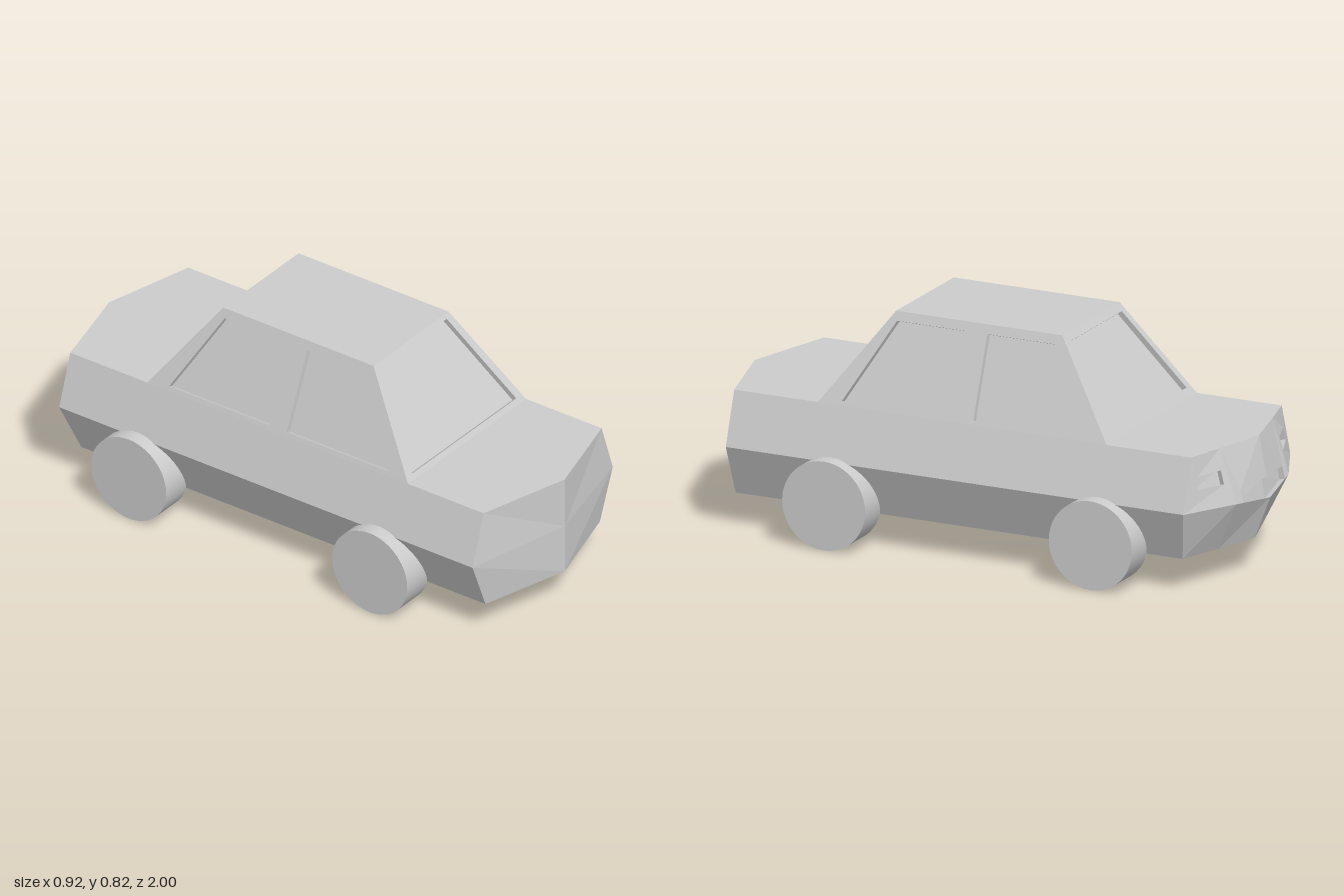
import * as THREE from 'three';

const grey = new THREE.MeshStandardMaterial({ color: 0xcccccc });
grey.name = 'light grey';

// Collects flat faces for the +x half and mirrors each one to -x
class HalfShell {
  constructor() { this.positions = []; }
  tri(a, b, c) {
    const flip = ([x, y, z]) => [-x, y, z];
    this.positions.push(...a, ...b, ...c, ...flip(a), ...flip(c), ...flip(b));
  }
  quad(a, b, c, d) {
    this.tri(a, b, c);
    this.tri(a, c, d);
  }
  mesh(name) {
    const geometry = new THREE.BufferGeometry();
    geometry.setAttribute('position', new THREE.Float32BufferAttribute(this.positions, 3));
    geometry.computeVertexNormals();
    const mesh = new THREE.Mesh(geometry, grey);
    mesh.name = name;
    return mesh;
  }
}

// Frame around a hole with a sunken pane; openEdge is the side on the centre line
function recessedPanel(frame, pane, outer, hole, depth, openEdge = -1) {
  const v = outer.map((p) => new THREE.Vector3(...p));
  const n = v[2].clone().sub(v[0]).cross(v[3].clone().sub(v[1])).normalize().multiplyScalar(-depth);
  if (openEdge >= 0) n.x = 0;
  const inner = hole.map(([x, y, z]) => [x + n.x, y + n.y, z + n.z]);
  for (let i = 0; i < 4; i++) {
    if (i === openEdge) continue;
    const j = (i + 1) % 4;
    frame.quad(outer[i], outer[j], hole[j], hole[i]);
    frame.quad(hole[i], hole[j], inner[j], inner[i]);
  }
  pane.quad(...inner);
}

// Point on a four-cornered face
function onFace([a, b, c, d], u, v) {
  return a.map((_, k) => (1 - v) * ((1 - u) * a[k] + u * b[k]) + v * ((1 - u) * d[k] + u * c[k]));
}

const BELT = 0.495, ROOF = 0.825;

function addLowerBody(group) {
  const body = new HalfShell(), light = new HalfShell(), grille = new HalfShell();
  // Flat-angled end at +z
  const ft = [0.345, BELT, 0.905], fm = [0.41, 0.305, 0.905], fb = [0.335, 0.12, 0.905];
  const ct = [0, BELT, 1], cm = [0, 0.305, 1], cb = [0, 0.12, 1];
  // Faceted end at -z
  const bt = [0.345, BELT, -0.87], bm = [0.41, 0.305, -0.87], bb = [0.335, 0.12, -0.83];
  const ut = [0.2, BELT, -0.907], um = [0.2, 0.3, -0.97], ub = [0.17, 0.12, -0.886];
  const et = [0, BELT, -0.957], tip = [0, 0.275, -1], eb = [0, 0.12, -0.94];

  body.quad(fm, bm, bt, ft);
  body.quad(fb, bb, bm, fm);
  body.quad(cb, fb, fm, cm);
  body.quad(cm, fm, ft, ct);
  body.quad(ct, ft, bt, et);
  body.quad(eb, bb, fb, cb);
  body.quad(bb, ub, um, bm);
  body.quad(ub, eb, tip, um);

  // Sunken lights and central grille
  const corner = [bm, um, ut, bt];
  const lightHole = [[0.24, 0.38], [0.86, 0.38], [0.86, 0.63], [0.24, 0.63]].map(([u, v]) => onFace(corner, u, v));
  recessedPanel(body, light, corner, lightHole, 0.02);
  const grilleHole = [[0.16, 0.295, -0.976], tip, [0, 0.35, -0.987], [0.16, 0.34, -0.966]];
  recessedPanel(body, grille, [um, tip, et, ut], grilleHole, 0.022, 1);

  group.add(body.mesh('lowerBody'), light.mesh('lamps'), grille.mesh('grille'));
}

function addCabin(group) {
  const cabin = new HalfShell(), side = new HalfShell(), front = new HalfShell(), rear = new HalfShell();
  const FB = 0.58, FR = 0.34, RB = -0.54, RR = -0.305, MID = 0.02;
  const rise = (y) => (y - BELT) / (ROOF - BELT);
  const sideAt = (y, z) => [0.345 - 0.125 * rise(y), y, z];
  const frontAt = (x, y) => [x, y, FB + (FR - FB) * rise(y)];
  const rearAt = (x, y) => [x, y, RB + (RR - RB) * rise(y)];

  cabin.quad([0, ROOF, FR], [0.22, ROOF, FR], [0.22, ROOF, RR], [0, ROOF, RR]);

  // Side windows, one either side of the door pillar
  recessedPanel(cabin, side,
    [sideAt(BELT, FB), sideAt(BELT, MID), sideAt(ROOF, MID), sideAt(ROOF, FR)],
    [sideAt(0.51, 0.49), sideAt(0.51, 0.055), sideAt(0.793, 0.065), sideAt(0.793, 0.33)], 0.02);
  recessedPanel(cabin, side,
    [sideAt(BELT, MID), sideAt(BELT, RB), sideAt(ROOF, RR), sideAt(ROOF, MID)],
    [sideAt(0.51, -0.02), sideAt(0.51, -0.45), sideAt(0.793, -0.29), sideAt(0.793, -0.02)], 0.02);

  // Windscreen and rear window
  recessedPanel(cabin, front,
    [frontAt(0, BELT), frontAt(0.345, BELT), frontAt(0.22, ROOF), frontAt(0, ROOF)],
    [frontAt(0, 0.512), frontAt(0.305, 0.512), frontAt(0.195, 0.812), frontAt(0, 0.812)], 0.02, 3);
  recessedPanel(cabin, rear,
    [rearAt(0.345, BELT), rearAt(0, BELT), rearAt(0, ROOF), rearAt(0.22, ROOF)],
    [rearAt(0.305, 0.522), rearAt(0, 0.522), rearAt(0, 0.8), rearAt(0.2, 0.8)], 0.02, 1);

  group.add(cabin.mesh('cabin'), side.mesh('sideWindows'), front.mesh('windscreen'), rear.mesh('rearWindow'));
}

function addWheels(group) {
  const geometry = new THREE.CylinderGeometry(0.161, 0.161, 0.125, 48).rotateZ(Math.PI / 2);
  for (const [end, z] of [['front', 0.5], ['rear', -0.535]]) {
    for (const [hand, s] of [['Left', 1], ['Right', -1]]) {
      const wheel = new THREE.Mesh(geometry, grey);
      wheel.name = `${end}${hand}Wheel`;
      wheel.position.set(s * 0.3975, 0.161, z);
      group.add(wheel);
    }
  }
}

export function createModel() {
  const car = new THREE.Group();
  car.name = 'car';
  addLowerBody(car);
  addCabin(car);
  addWheels(car);
  return car;
}
